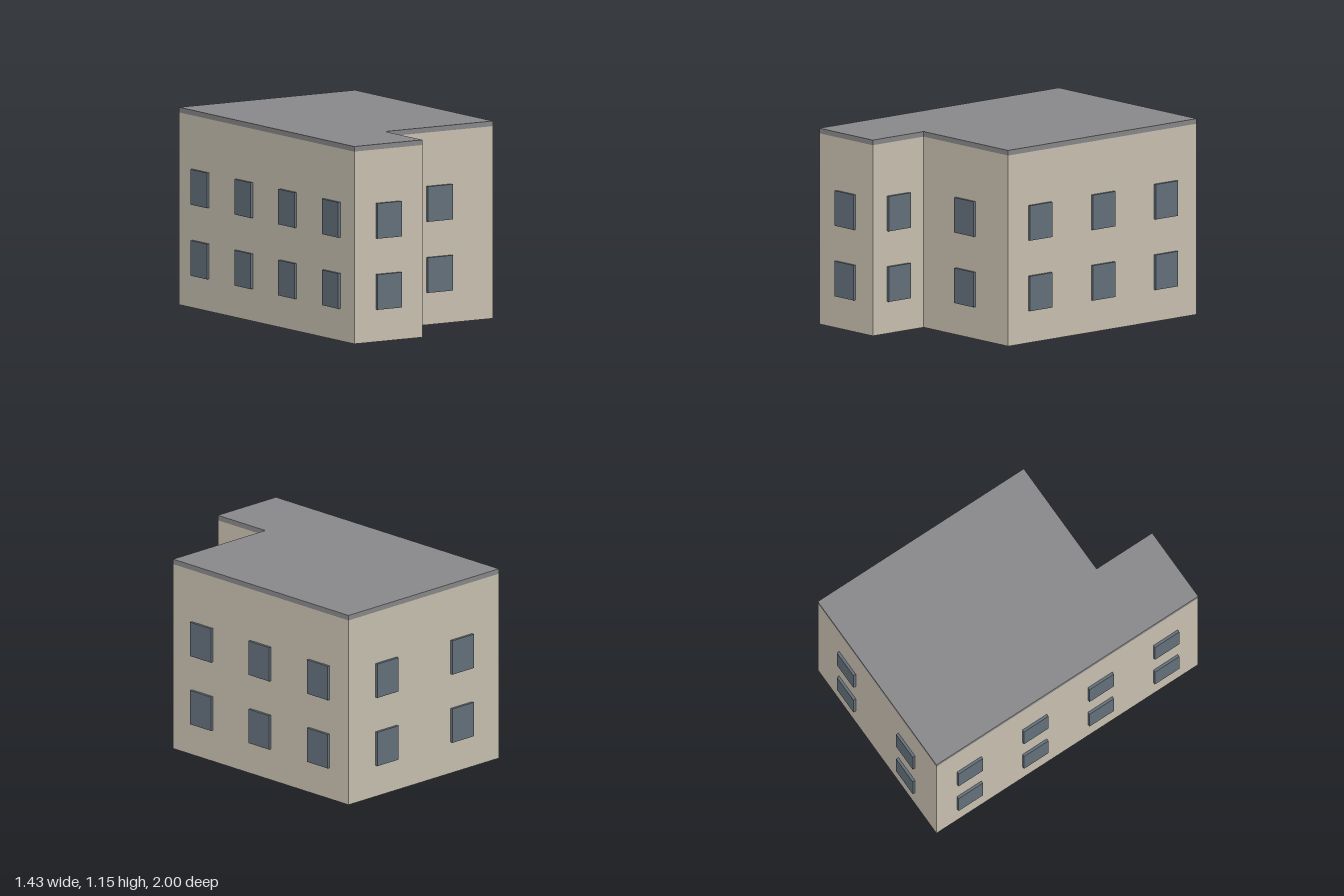
import * as THREE from 'three';

const EAVE = 1.117, TOP = 1.147;

// Footprint corners [x, z] with the number of window columns on the wall that starts there
const CORNERS = [
  [-0.718, -0.8, 2],   // back wall
  [0.475, -1.0, 3],    // left wall
  [0.716, 0.415, 1],   // front wall
  [-0.015, 0.538, 1],  // inner wall of the wing
  [0.05, 0.92, 1],     // front wall of the wing
  [-0.412, 0.998, 4],  // long right wall
];

export function createModel() {
  const group = new THREE.Group();
  const wallMat = new THREE.MeshStandardMaterial({ color: 0xc8c0b0 });
  wallMat.name = 'wall beige';
  const roofMat = new THREE.MeshStandardMaterial({ color: 0x88888a });
  roofMat.name = 'roof grey';
  const windowMat = new THREE.MeshStandardMaterial({ color: 0x64707b });
  windowMat.name = 'window blue grey';

  // Footprint slab between two heights
  const footprint = new THREE.Shape(CORNERS.map(([x, z]) => new THREE.Vector2(x, z)));
  function slab(name, bottom, top, material) {
    const geometry = new THREE.ExtrudeGeometry(footprint, { depth: top - bottom, bevelEnabled: false });
    geometry.rotateX(Math.PI / 2).translate(0, top, 0);
    const mesh = new THREE.Mesh(geometry, material);
    mesh.name = name;
    group.add(mesh);
  }
  slab('walls', 0, EAVE, wallMat);
  slab('roof', EAVE, TOP, roofMat);

  // Two storeys of evenly spaced windows standing proud of each wall
  const windows = new THREE.Group();
  windows.name = 'windows';
  const pane = new THREE.BoxGeometry(0.17, 0.205, 0.032);
  CORNERS.forEach(([x0, z0, columns], i) => {
    const [x1, z1] = CORNERS[(i + 1) % CORNERS.length];
    const turn = Math.atan2(z1 - z0, x0 - x1);
    for (let c = 0; c < columns; c++) {
      const t = (c + 0.5) / columns;
      for (const y of [0.29, 0.703]) {
        const mesh = new THREE.Mesh(pane, windowMat);
        mesh.name = 'window';
        mesh.position.set(x0 + (x1 - x0) * t, y, z0 + (z1 - z0) * t);
        mesh.rotation.y = turn;
        windows.add(mesh);
      }
    }
  });
  group.add(windows);
  return group;
}
